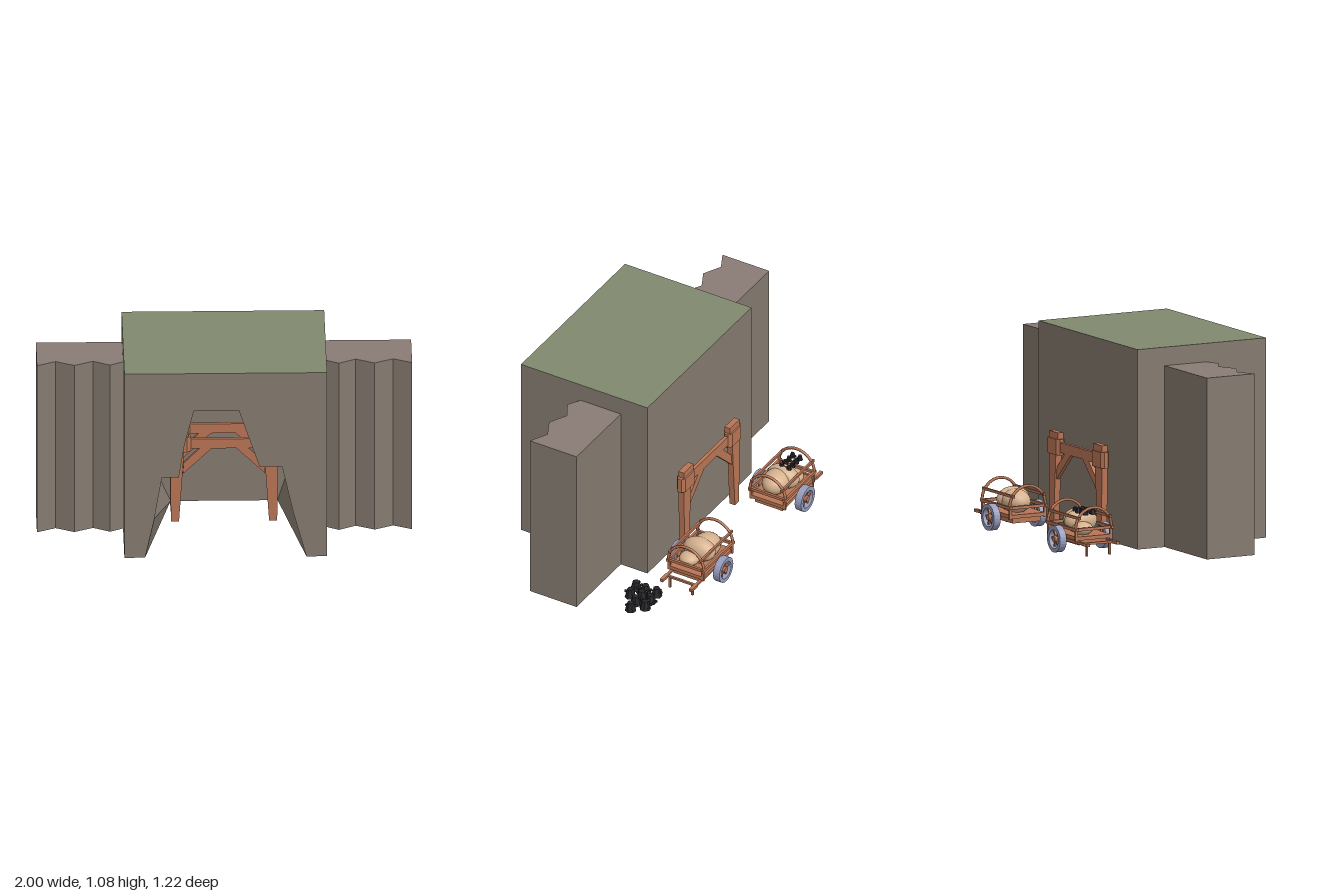
import * as THREE from 'three';

const mat = (name, color, extra = {}) => {
  const m = new THREE.MeshStandardMaterial({ color, ...extra });
  m.name = name;
  return m;
};

export function createModel() {
  const root = new THREE.Group();
  root.name = 'mineEntrance';
  const rock = mat('rock', 0x857b70);
  const rockTop = mat('rockTop', 0x8a7b74);
  const grass = mat('grass', 0x808a6e);
  const wood = mat('wood', 0xb87555);
  const iron = mat('iron', 0x989dbd);
  const sackCloth = mat('sackCloth', 0xd6b28f);
  const coal = mat('coal', 0x25252a);
  coal.flatShading = true;

  let seed = 7;
  const rand = () => (seed = (seed * 16807) % 2147483647) / 2147483647;

  const add = (parent, name, geo, material, x = 0, y = 0, z = 0) => {
    const m = new THREE.Mesh(geo, material);
    m.name = name;
    m.position.set(x, y, z);
    parent.add(m);
    return m;
  };
  const box = (parent, name, w, h, d, x, y, z, material = wood) =>
    add(parent, name, new THREE.BoxGeometry(w, h, d), material, x, y, z);
  const shape = pts => new THREE.Shape(pts.map(p => new THREE.Vector2(...p)));
  const slab = (pts, depth) => {
    const g = new THREE.ExtrudeGeometry(shape(pts), { depth, bevelEnabled: false });
    return g.translate(0, 0, -depth / 2);
  };

  // Main rock block: box without front and underside, which carry the cave mouth
  const zFront = 0.61, zBack = -0.175, zCave = -0.1;
  const shell = new THREE.BoxGeometry(1.08, 1.08, zFront - zBack);
  shell.groups = shell.groups.filter(g => g.materialIndex !== 3 && g.materialIndex !== 4);
  add(root, 'rockBlock', shell, [rock, rock, grass, rock, rock, rock], 0, 0.54, (zFront + zBack) / 2);

  const mouth = [[-0.43, 0], [-0.38, 0.23], [-0.34, 0.47], [-0.25, 0.47], [-0.22, 0.66], [-0.17, 0.86],
    [0.07, 0.86], [0.18, 0.53], [0.3, 0.53], [0.36, 0.26], [0.43, 0]];
  const inner = [[-0.28, 0], [-0.38, 0.23], [-0.37, 0.47], [-0.35, 0.51], [-0.26, 0.61], [0, 0.92],
    [0.14, 0.92], [0.28, 0.75], [0.36, 0.55], [0.37, 0.26], [0.29, 0]];
  add(root, 'rockFront', new THREE.ShapeGeometry(
    shape([[-0.54, 0], ...mouth, [0.54, 0], [0.54, 1.08], [-0.54, 1.08]])), rock, 0, 0, zFront);
  add(root, 'caveBack', new THREE.ShapeGeometry(shape(inner)), rock, 0, 0, zCave);

  // Underside, open where the cave has no floor
  const under = new THREE.ShapeGeometry(shape([[-0.54, zBack], [0.54, zBack], [0.54, zFront], [0.43, zFront],
    [0.29, zCave], [-0.28, zCave], [-0.43, zFront], [-0.54, zFront]])).rotateX(Math.PI / 2);
  add(root, 'rockUnderside', under, rock);

  // Cave walls: flat facets between the mouth and the inner outline
  const tri = [];
  for (let i = 0; i < mouth.length - 1; i++) {
    const a = [...mouth[i], zFront], b = [...mouth[i + 1], zFront];
    const c = [...inner[i + 1], zCave], d = [...inner[i], zCave];
    tri.push(...a, ...b, ...d, ...b, ...c, ...d);
  }
  const walls = new THREE.BufferGeometry();
  walls.setAttribute('position', new THREE.Float32BufferAttribute(tri, 3));
  walls.computeVertexNormals();
  add(root, 'caveWalls', walls, mat('caveRock', 0x857b70, { side: THREE.DoubleSide }));

  // Side cliffs with a zigzag front
  for (const s of [-1, 1]) {
    const pts = [[0.54, 0.24], [0.61, 0.28], [0.7, 0.23], [0.8, 0.28], [0.9, 0.23], [1, 0.28], [1, -0.01], [0.54, -0.01]];
    const g = new THREE.ExtrudeGeometry(shape(pts.map(([x, z]) => [s * x, -z])), { depth: 0.98, bevelEnabled: false });
    add(root, s > 0 ? 'leftCliff' : 'rightCliff', g.rotateX(-Math.PI / 2), [rockTop, rock]);
  }

  // Timber gates: one behind the rock, two inside the cave
  const hub = slab([[-0.065, -0.011], [-0.045, -0.026], [0.045, -0.026], [0.065, -0.011],
    [0.065, 0.011], [0.045, 0.026], [-0.045, 0.026], [-0.065, 0.011]], 0.085).rotateX(Math.PI / 2);
  const gate = z => {
    const g = new THREE.Group();
    g.name = 'timberGate';
    g.position.z = z;
    root.add(g);
    for (const s of [-1, 1]) {
      const m = pts => pts.map(([x, y]) => [s * x, y]);
      add(g, 'post', slab(m([[0.24, 0], [0.283, 0], [0.29, 0.53], [0.19, 0.53], [0.19, 0.49], [0.213, 0.41]]), 0.034), wood);
      add(g, 'brace', slab(m([[0.22, 0.275], [0.215, 0.34], [0.125, 0.43], [0.06, 0.43]]), 0.02), wood);
      add(g, 'postCollar', hub, wood, s * 0.242, 0.452, 0);
    }
    box(g, 'beam', 0.4, 0.055, 0.02, 0, 0.452, 0);
  };
  [-0.235, -0.05, 0.14].forEach(gate);

  // Hand cart, handles towards +x
  const rim = new THREE.LatheGeometry([[0.05, -0.02], [0.072, -0.02], [0.072, 0.02], [0.05, 0.02], [0.05, -0.02]]
    .map(p => new THREE.Vector2(...p)), 24).toNonIndexed();
  rim.computeVertexNormals();
  rim.rotateX(Math.PI / 2);
  const hoopCurve = new THREE.CatmullRomCurve3(Array.from({ length: 13 }, (_, i) => {
    const a = Math.PI * i / 12;
    return new THREE.Vector3(0, 0.14 + 0.112 * Math.sin(a), 0.11 * Math.cos(a));
  }));
  const hoop = new THREE.TubeGeometry(hoopCurve, 20, 0.008, 6);
  const cart = (x, z, turn) => {
    const g = new THREE.Group();
    g.name = 'handCart';
    g.position.set(x, 0, z);
    g.rotation.y = turn;
    root.add(g);
    box(g, 'bed', 0.31, 0.02, 0.21, 0, 0.09, 0);
    box(g, 'underframe', 0.28, 0.025, 0.17, 0, 0.065, 0);
    add(g, 'axle', new THREE.CylinderGeometry(0.01, 0.01, 0.3, 8).rotateX(Math.PI / 2), wood, 0, 0.072, 0);
    for (const s of [-1, 1]) {
      box(g, 'endRail', 0.014, 0.016, 0.22, s * 0.15, 0.138, 0);
      box(g, 'sideRail', 0.33, 0.016, 0.014, 0, 0.138, s * 0.108);
      box(g, 'hoopRail', 0.34, 0.014, 0.012, 0, 0.2, s * 0.094);
      add(g, 'hoop', hoop, wood, s * 0.15, 0, 0);
      for (const t of [-1, 1]) box(g, 'cornerPost', 0.014, 0.07, 0.014, t * 0.148, 0.11, s * 0.105);
      // Handle, its flat grip and prop leg
      box(g, 'handle', 0.26, 0.014, 0.014, 0.12, 0.068, s * 0.09);
      box(g, 'grip', 0.06, 0.016, 0.02, 0.226, 0.068, s * 0.09);
      box(g, 'propLeg', 0.011, 0.06, 0.011, 0.2, 0.03, s * 0.07);
      // Wheel
      const w = new THREE.Group();
      w.name = 'wheel';
      w.position.set(0, 0.072, s * 0.14);
      g.add(w);
      add(w, 'tyre', rim, iron);
      add(w, 'wheelHub', new THREE.CylinderGeometry(0.018, 0.018, 0.04, 10).rotateX(Math.PI / 2), wood);
      for (let i = 0; i < 3; i++) box(w, 'spokes', 0.104, 0.009, 0.012, 0, 0, 0).rotation.z = i * Math.PI / 3;
    }
    box(g, 'crossbar', 0.012, 0.012, 0.18, 0.2, 0.068, 0);
    // Sacks: position and radii
    for (const [px, py, pz, rx, ry, rz] of [[-0.04, 0.155, -0.01, 0.095, 0.065, 0.075],
      [0.01, 0.16, 0, 0.06, 0.066, 0.095], [0.075, 0.13, 0.025, 0.055, 0.036, 0.055]]) {
      add(g, 'sack', new THREE.SphereGeometry(1, 20, 14), sackCloth, px, py, pz).scale.set(rx, ry, rz);
    }
  };
  cart(0.385, -0.4125, 0);
  cart(-0.4, -0.45, Math.PI);

  // Coal: rough lumps with small crumbs
  const lump = (x, y, z, r) => {
    const m = add(root, 'coalLump', new THREE.CylinderGeometry(r * 0.6, r * 1.05, r * 1.7, 7), coal, x, y + r * 0.85, z);
    m.rotation.y = rand() * 6;
    for (let i = 0; i < 3; i++) {
      const a = rand() * 6.28;
      add(root, 'coalCrumb', new THREE.IcosahedronGeometry(r * 0.3, 0), coal,
        x + Math.cos(a) * r, y + r * (0.3 + rand()), z + Math.sin(a) * r);
    }
  };
  [[-0.33, 0.69, 3], [-0.265, 0.685, 4], [-0.205, 0.69, 2]].forEach(([z, x0, n]) => {
    for (let i = 0; i < n; i++) lump(x0 + i * 0.06 + rand() * 0.02, 0, z + rand() * 0.02 - 0.01, 0.03);
  });
  for (let i = 0; i < 8; i++) lump(-0.525 + (i % 4) * 0.038, 0.21, i < 4 ? -0.485 : -0.44, 0.016);

  return root;
}
